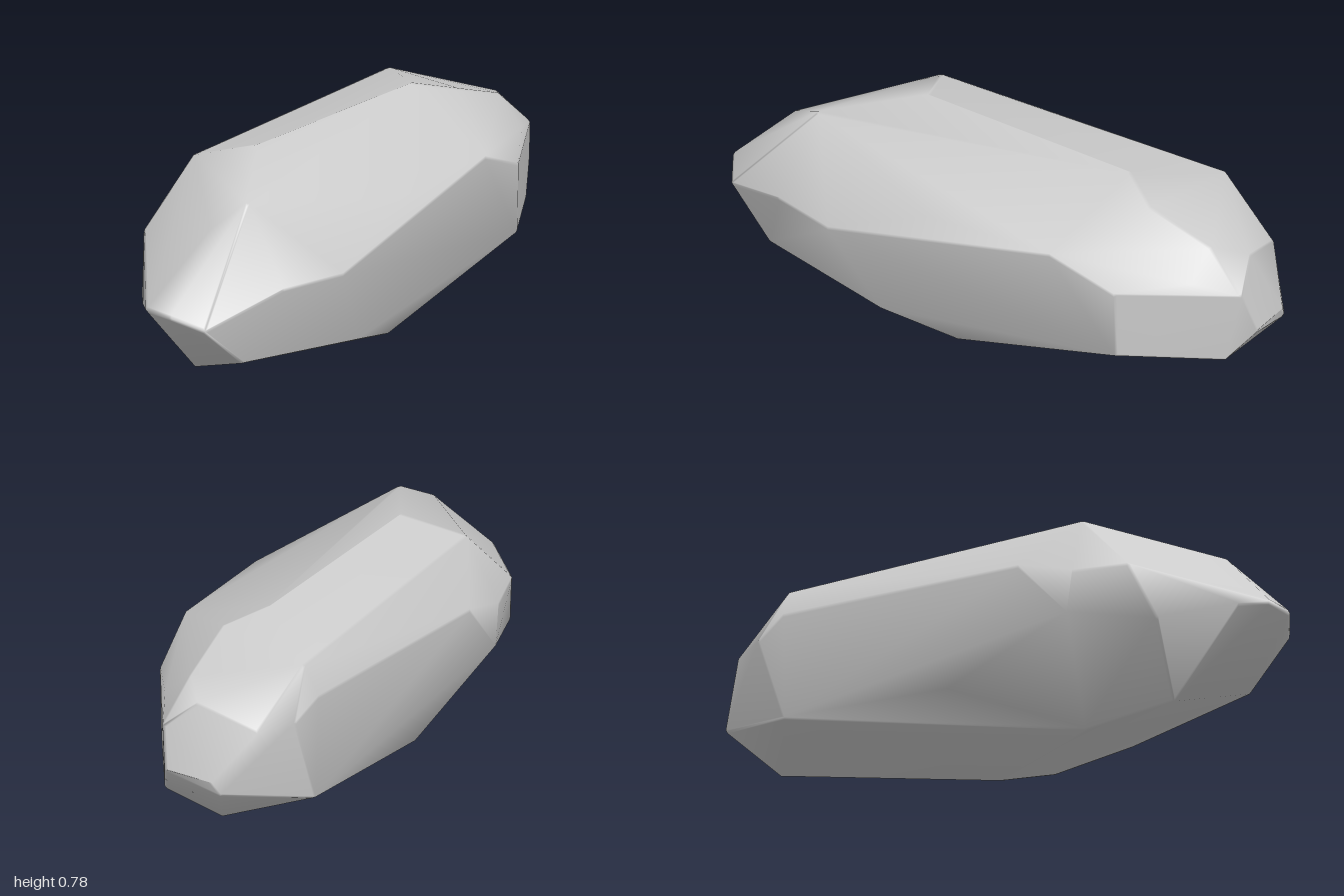
import * as THREE from 'three';
import { ConvexGeometry } from 'three/addons/geometries/ConvexGeometry.js';
import { mergeVertices } from 'three/addons/utils/BufferGeometryUtils.js';

// Main corners of the stone, ring by ring
const crown = [
  [-0.33, 0.78, -0.06], [0.47, 0.76, 0], [0.6, 0.72, 0.1], [0.69, 0.69, -0.25],
  [-0.4, 0.72, -0.27], [-0.65, 0.71, 0.12], [-0.77, 0.64, 0.06],
];
const frontSide = [
  [-0.1, 0.61, 0.36], [0.37, 0.615, 0.37], [0.6, 0.51, 0.34], [0.6, 0.27, 0.335],
  [-0.47, 0.46, 0.38], [-0.7, 0.46, 0.3], [-0.3, 0.165, 0.32],
];
const backSide = [
  [-0.22, 0.55, -0.38], [-0.42, 0.49, -0.38], [-0.4, 0.35, -0.38], [0.07, 0.18, -0.33],
  [0.69, 0.22, -0.29], [0.69, 0.59, -0.3], [-0.6, 0.5, -0.33], [-0.68, 0.31, -0.28],
];
const underside = [[0.05, 0, 0.05], [-0.35, 0.03, -0.13], [-0.65, 0.09, -0.09], [-0.04, 0.09, 0.26], [0.83, 0.15, -0.02]];
const leftEnd = [
  [1, 0.36, 0.1], [1, 0.35, -0.07], [0.99, 0.31, -0.1], [0.91, 0.25, 0.15], [0.96, 0.5, 0.13],
  [0.93, 0.59, 0.02], [0.83, 0.63, 0.1], [0.82, 0.54, 0.2], [0.9, 0.52, -0.19], [0.79, 0.53, -0.27],
];
const rightEnd = [[-1, 0.4, 0.06], [-0.98, 0.4, -0.05], [-0.9, 0.38, -0.12], [-0.95, 0.36, 0.16], [-0.79, 0.21, 0.2]];

export function createModel() {
  const group = new THREE.Group();
  group.name = 'stone';

  // Put a tiny ball at every corner so the hull gets softly worn edges
  const r = 0.012, half = [1, 0.39, 0.38];
  const ball = mergeVertices(new THREE.IcosahedronGeometry(r, 0).deleteAttribute('normal').deleteAttribute('uv'));
  const ballPos = ball.getAttribute('position');
  const points = [];
  for (const [x, y, z] of [...crown, ...frontSide, ...backSide, ...underside, ...leftEnd, ...rightEnd]) {
    const inset = half.map((h) => 1 - r / h);
    const corner = new THREE.Vector3(x * inset[0], 0.39 + (y - 0.39) * inset[1], z * inset[2]);
    for (let i = 0; i < ballPos.count; i++) {
      points.push(new THREE.Vector3().fromBufferAttribute(ballPos, i).add(corner));
    }
  }

  // Area-weighted smooth normals keep the big facets flat and the edges round
  let geometry = new ConvexGeometry(points);
  geometry.deleteAttribute('normal');
  geometry = mergeVertices(geometry, 1e-5);
  geometry.computeVertexNormals();

  const body = new THREE.Mesh(geometry, new THREE.MeshStandardMaterial({ color: 0xcccccc, roughness: 0.9 }));
  body.name = 'stoneBody';
  group.add(body);
  return group;
}
